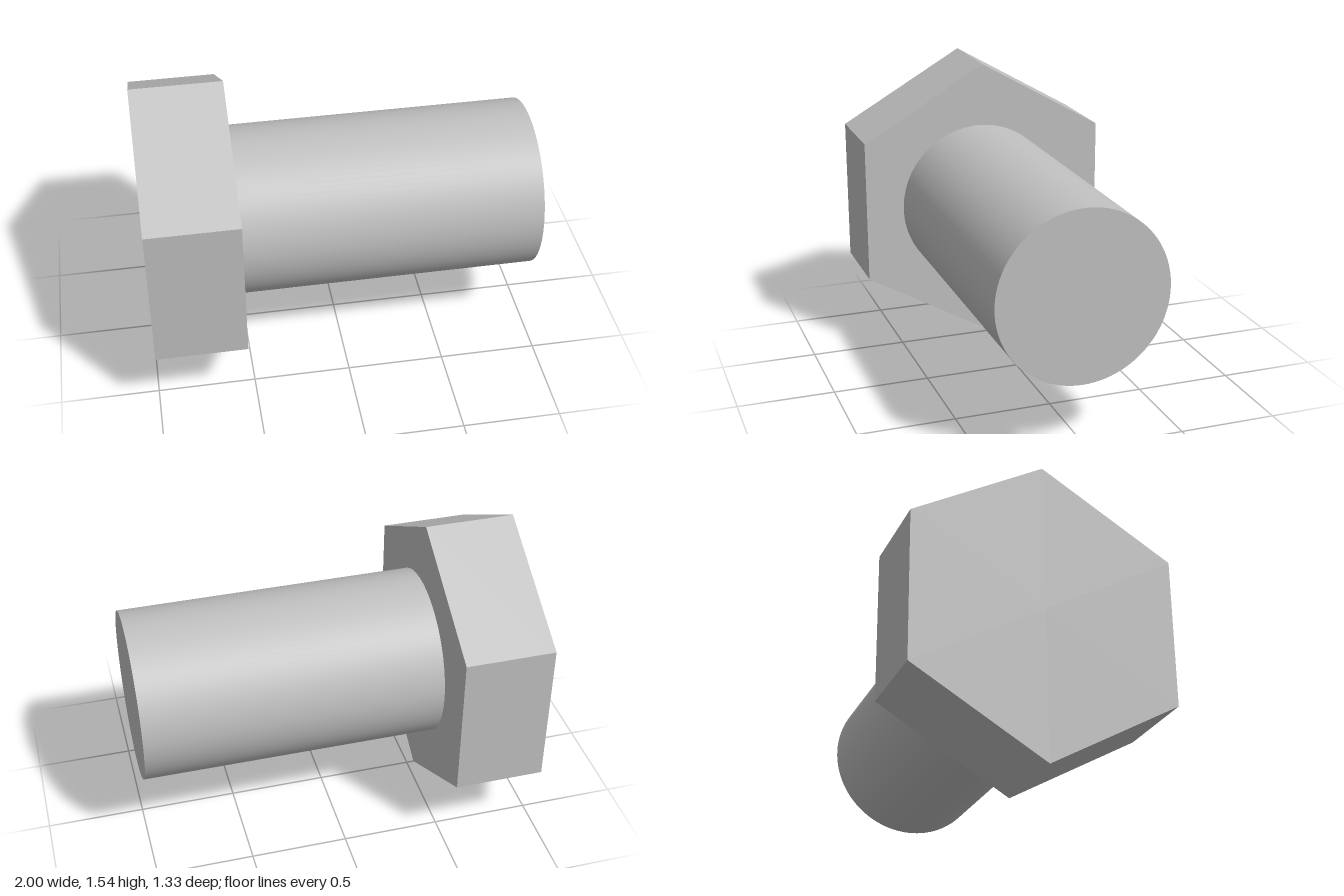
import * as THREE from 'three';

export function createModel() {
  const model = new THREE.Group();
  model.name = 'hexBolt';

  const steel = new THREE.MeshStandardMaterial({ color: 0xc0c0c0 });
  steel.name = 'lightGreySteel';

  const axisY = 0.77;
  const headRadius = 0.77;
  const shankRadius = 0.435;
  const headEnd = -0.54;

  // Cylinder lying along x between two positions
  function addRod(name, x0, x1, radius, sides, z, thetaStart = 0) {
    let geometry = new THREE.CylinderGeometry(
      radius, radius, x1 - x0, sides, 1, false, thetaStart);
    geometry.rotateZ(-Math.PI / 2);
    if (sides < 12) {
      // Flat facets
      geometry = geometry.toNonIndexed();
      geometry.computeVertexNormals();
    }
    const mesh = new THREE.Mesh(geometry, steel);
    mesh.name = name;
    mesh.position.set((x0 + x1) / 2, axisY, z);
    model.add(mesh);
  }

  // Hexagonal head with corners at top and bottom
  addRod('head', -1, headEnd, headRadius, 6, 0, Math.PI / 2);

  // Smooth shank, set slightly forward of the head's centre
  addRod('shank', headEnd, 1, shankRadius, 96, 0.026);

  return model;
}
